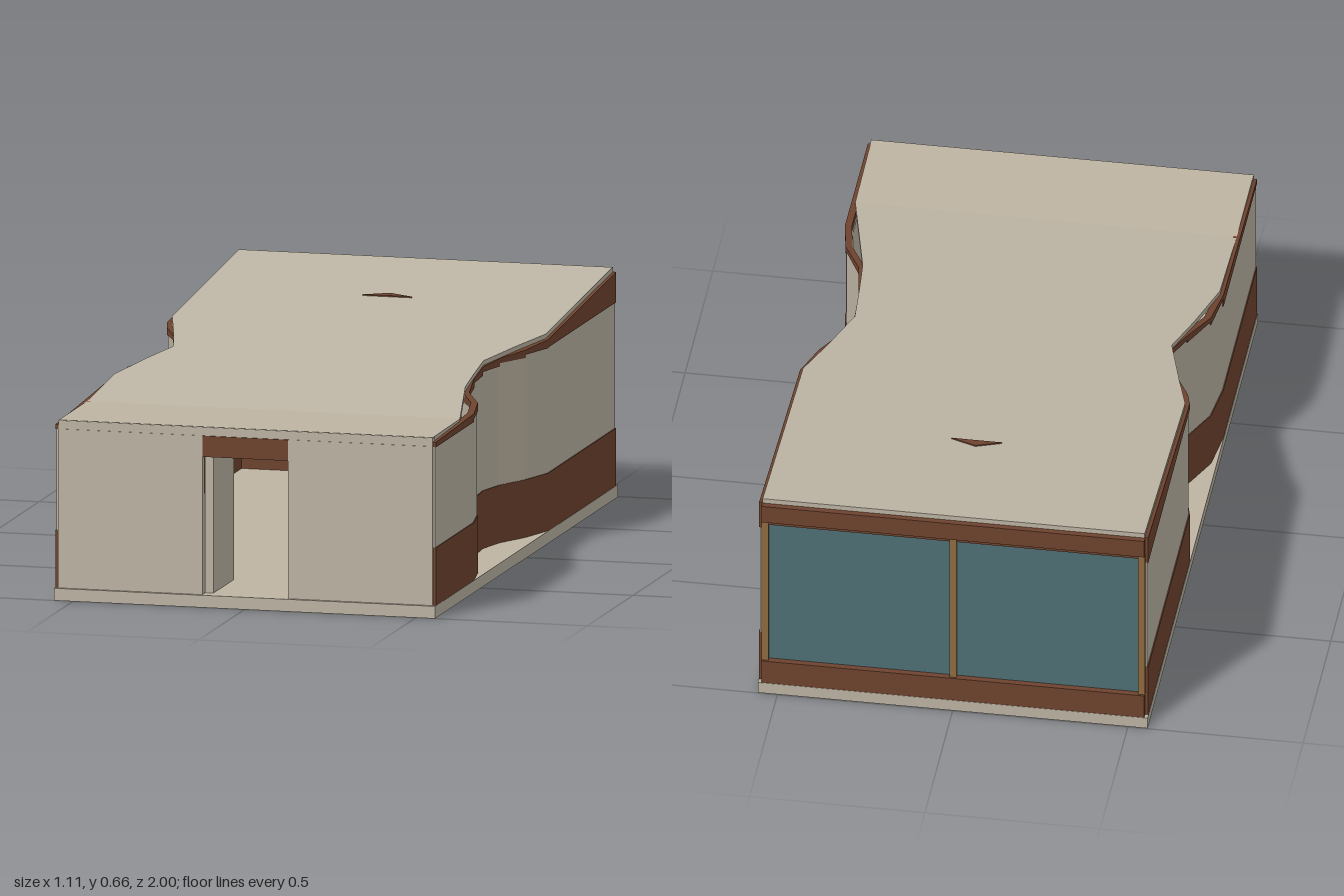
import * as THREE from 'three';
import { mergeGeometries } from 'three/addons/utils/BufferGeometryUtils.js';

const mat = (name, color) => Object.assign(new THREE.MeshStandardMaterial({ color }), { name });

// Solid lofted through four-cornered sections running from front to back.
function loft(sections) {
  const pos = [];
  const quad = (a, b, c, d) => pos.push(...a, ...b, ...c, ...a, ...c, ...d);
  for (let i = 0; i < sections.length - 1; i++) {
    const p = sections[i], q = sections[i + 1];
    for (let k = 0; k < 4; k++) {
      const n = (k + 1) % 4;
      quad(p[k], q[k], q[n], p[n]);
    }
  }
  const f = sections[0], b = sections[sections.length - 1];
  quad(f[0], f[1], f[2], f[3]);
  quad(b[3], b[2], b[1], b[0]);
  const g = new THREE.BufferGeometry();
  g.setAttribute('position', new THREE.Float32BufferAttribute(pos, 3));
  g.computeVertexNormals();
  return g;
}

// Section corners, counter-clockwise seen from the front.
const section = (z, x0, x1, y0, y1) => [[x0, y0, z], [x1, y0, z], [x1, y1, z], [x0, y1, z]];

// Height of the roof's underside: flat at the front, rising to the back.
const under = z => 0.5 + Math.max(0, 0.68 - z) * 0.0873;

// Linear lookup in a [z, x] path that runs from front to back.
function xAt(path, z) {
  for (let i = 0; i < path.length - 1; i++) {
    const [z0, a] = path[i], [z1, b] = path[i + 1];
    if (z <= z0 && z >= z1) return a + (b - a) * (z0 - z) / (z0 - z1);
  }
  return path[path.length - 1][1];
}

export function createModel() {
  const model = new THREE.Group();
  model.name = 'pavilion';
  const plaster = mat('plaster beige', 0xbdb4a3);
  const brown = mat('timber brown', 0x6e432e);
  const glass = mat('window teal', 0x4f7074);
  const tan = mat('frame tan', 0x8f6b40);

  const add = (name, geometry, material) => {
    const m = new THREE.Mesh(geometry, material);
    m.name = name;
    model.add(m);
  };
  const box = (name, material, x0, x1, y0, y1, z0, z1) => {
    const g = new THREE.BoxGeometry(x1 - x0, y1 - y0, z1 - z0);
    g.translate((x0 + x1) / 2, (y0 + y1) / 2, (z0 + z1) / 2);
    add(name, g, material);
  };

  // Floor slab
  box('floorSlab', plaster, -0.556, 0.556, 0, 0.035, -0.998, 1);

  // Curved side walls: base band, plaster panels and stepped top trim
  const wallPaths = {
    left: [1, [[0.985, 0.555], [0.57, 0.555], [0.455, 0.535], [0.35, 0.482], [0.2, 0.457], [0.08, 0.45],
      [-0.02, 0.472], [-0.12, 0.52], [-0.24, 0.555], [-0.98, 0.555]]],
    right: [-1, [[0.985, 0.555], [0.38, 0.555], [0.25, 0.54], [0.14, 0.49], [0.06, 0.458], [-0.02, 0.472],
      [-0.1, 0.502], [-0.18, 0.542], [-0.23, 0.555], [-0.98, 0.555]]],
  };
  for (const [side, [s, path]] of Object.entries(wallPaths)) {
    const row = (z, x, y0, y1) => {
      const a = s * x, b = s * (x - 0.02);
      return section(z, Math.min(a, b), Math.max(a, b), y0, y1);
    };
    const base = [], panels = [], trim = [];
    for (let i = 0; i < path.length - 1; i++) {
      const [z0, x0] = path[i], [z1, x1] = path[i + 1];
      const step = Math.min(0.56, under(z0) - 0.012);
      base.push(loft([row(z0, x0, 0.035, 0.2), row(z1, x1, 0.035, 0.2)]));
      panels.push(loft([row(z0, x0 - 0.003, 0.2, step), row(z1, x1 - 0.003, 0.2, step)]));
      trim.push(loft([row(z0, x0, step, under(z0) + 0.002), row(z1, x1, step, under(z1) + 0.002)]));
    }
    add(side + 'WallBase', mergeGeometries(base), brown);
    add(side + 'WallPanels', mergeGeometries(panels), plaster);
    add(side + 'WallTrim', mergeGeometries(trim), brown);
  }

  // Sloping roof with waisted edges
  const roofLeft = [[0.985, 0.545], [0.68, 0.543], [0.34, 0.468], [0.2, 0.456], [0.06, 0.446],
    [-0.1, 0.494], [-0.25, 0.545], [-0.98, 0.545]];
  const roofRight = [[0.985, -0.545], [0.38, -0.545], [0.2, -0.5], [0.06, -0.458], [-0.12, -0.507],
    [-0.25, -0.545], [-0.98, -0.545]];
  const zs = [...new Set([...roofLeft, ...roofRight].map(p => p[0]))].sort((a, b) => b - a);
  add('roof', loft(zs.map(z =>
    section(z, xAt(roofRight, z), xAt(roofLeft, z), under(z), under(z) + 0.015))), plaster);

  // Small roof peak marker
  const peak = new THREE.Shape([[-0.072, 0], [0.072, 0], [0, 0.03]].map(p => new THREE.Vector2(...p)));
  const peakGeo = new THREE.ExtrudeGeometry(peak, { depth: 0.005, bevelEnabled: false });
  peakGeo.rotateX(-Math.PI / 2 + 0.0871);
  peakGeo.translate(0, under(-0.56) + 0.0135, -0.56);
  add('roofPeak', peakGeo, brown);

  // Front wall around the doorway
  box('frontWallRight', plaster, -0.546, -0.125, 0.035, 0.49, 0.965, 0.99);
  box('frontWallLeft', plaster, 0.125, 0.546, 0.035, 0.49, 0.965, 0.99);
  box('doorLintel', brown, -0.125, 0.125, 0.43, 0.49, 0.965, 0.992);
  box('frontFascia', plaster, -0.546, 0.546, 0.49, 0.514, 0.965, 0.988);

  // Open door leaf and inner partition
  box('doorLeaf', plaster, -0.124, -0.1, 0.036, 0.43, 0.74, 0.964);
  box('partition', plaster, -0.09, 0.05, 0.035, 0.41, -0.3, 0.1);
  box('partitionCap', brown, -0.1, 0.05, 0.41, 0.42, -0.3, 0.105);

  // Glazed back wall
  box('backSill', brown, -0.546, 0.546, 0.035, 0.11, -0.997, -0.97);
  box('backHeader', brown, -0.546, 0.546, 0.59, 0.645, -0.997, -0.97);
  box('backHeaderInner', brown, -0.535, 0.535, 0.575, 0.59, -0.985, -0.968);
  box('backGlass', glass, -0.535, 0.535, 0.11, 0.59, -0.979, -0.971);
  for (const x of [-0.537, 0, 0.537])
    box('backMullion', tan, x - 0.01, x + 0.01, 0.11, 0.59, -0.991, -0.967);

  return model;
}
